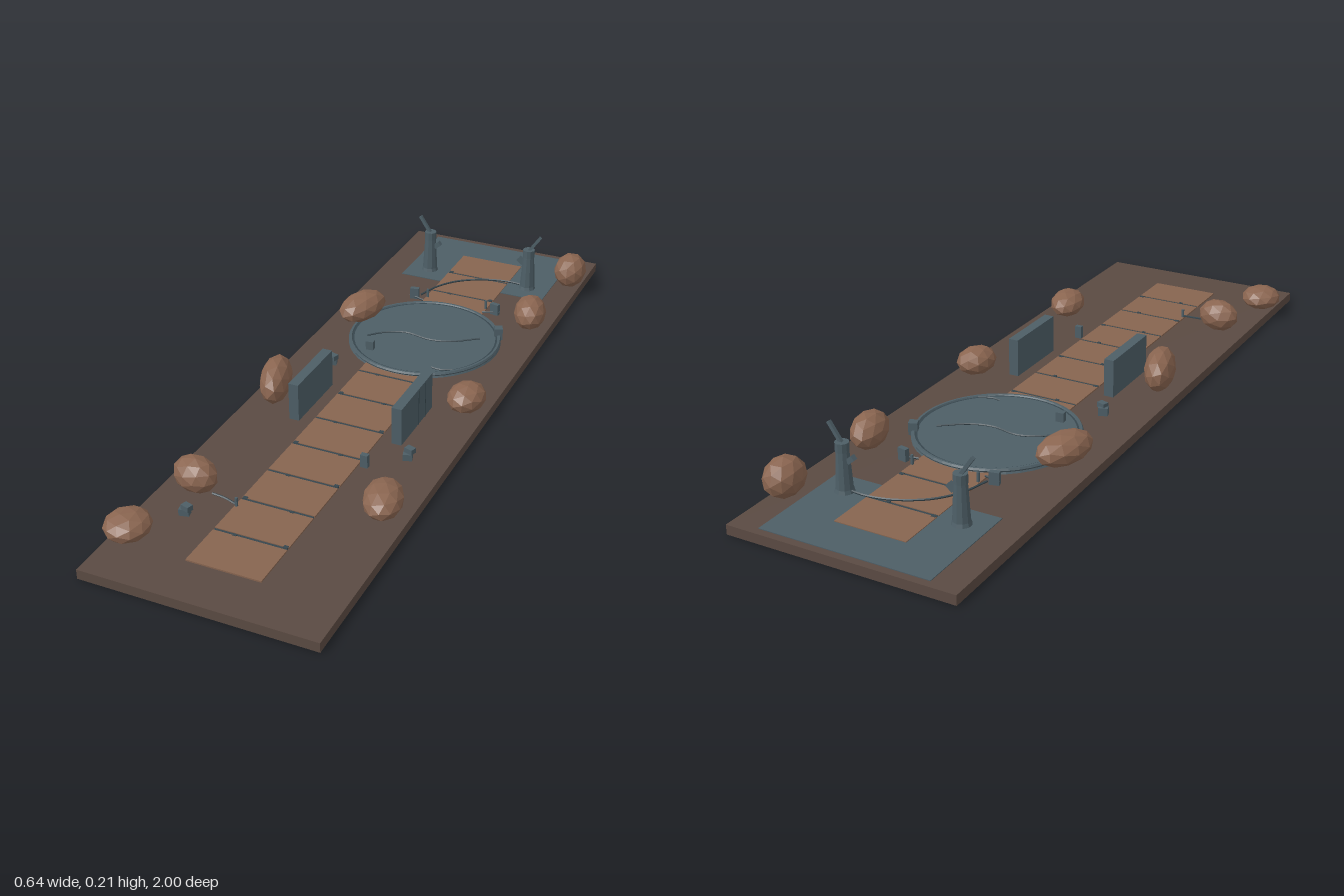
import * as THREE from 'three';

const mat = (name, color) => {
  const m = new THREE.MeshStandardMaterial({ color, flatShading: true });
  m.name = name;
  return m;
};

export function createModel() {
  const earth = mat('earth brown', 0x5a4a42);
  const clay = mat('clay tile', 0x86644f);
  const rock = mat('rock brown', 0x8a6550);
  const slate = mat('slate', 0x4d5e66);
  const dark = mat('dark slate', 0x37464d);
  const root = new THREE.Group();
  root.name = 'ruinedCourt';
  const G = 0.026; // ground level

  const add = (name, geo, m, x, y, z, parent = root) => {
    const mesh = new THREE.Mesh(geo, m);
    mesh.name = name;
    mesh.position.set(x, y, z);
    parent.add(mesh);
    return mesh;
  };
  // box standing on height y
  const box = (name, m, w, h, d, x, y, z, parent) =>
    add(name, new THREE.BoxGeometry(w, h, d), m, x, y + h / 2, z, parent);
  // thin bent strand through [x, y, z] points
  const strand = (name, pts, r, m = dark) => {
    const curve = new THREE.CatmullRomCurve3(pts.map(p => new THREE.Vector3(...p)));
    return add(name, new THREE.TubeGeometry(curve, 24, r, 5), m, 0, 0, 0);
  };

  // ground slab and rear platform
  box('groundSlab', earth, 0.614, G, 2, 0, 0, 0);
  box('rearPlatform', slate, 0.46, 0.002, 0.3, 0, G, -0.83);

  // paved path with dark joints, interrupted by the round plaza
  const pitch = 0.135;
  for (let i = 0; i < 13; i++) {
    const z = -0.812 + i * pitch;
    if (i > 2 && i < 5) continue;
    box('pathTile', clay, 0.196, 0.004, pitch - 0.009, 0, G, z);
    if (i < 12) {
      box('pathJoint', dark, 0.192, 0.003, 0.006, 0, G, z + pitch / 2);
      const s = i % 2 ? 1 : -1;
      box('jointChip', dark, 0.012, 0.005, 0.01, s * 0.09, G, z + pitch / 2 - 0.004);
      box('jointChip', dark, 0.01, 0.005, 0.008, s * -0.04, G, z + pitch / 2 + 0.003);
    }
  }

  // round plaza with raised rim
  const pz = -0.312;
  add('plazaDisc', new THREE.CylinderGeometry(0.215, 0.22, 0.01, 40), slate, 0, G + 0.005, pz);
  const rim = add('plazaRim', new THREE.TorusGeometry(0.214, 0.006, 6, 48), slate, 0, G + 0.009, pz);
  rim.rotation.x = Math.PI / 2;
  const rimLine = add('plazaRimGroove', new THREE.RingGeometry(0.204, 0.209, 48), dark, 0, G + 0.0108, pz);
  rimLine.rotation.x = -Math.PI / 2;

  // cracks across the plaza and a cable over the rear path
  const cy = G + 0.011;
  strand('plazaCrack', [[-0.155, cy, -0.25], [-0.12, cy, -0.285], [-0.06, cy, -0.312],
    [0.02, cy, -0.3], [0.08, cy, -0.315], [0.15, cy, -0.365]], 0.003);
  strand('plazaCrackSmall', [[0.085, cy, -0.155], [0.11, cy, -0.152], [0.145, cy, -0.165]], 0.003);
  strand('cable', [[-0.115, 0.035, -0.555], [-0.09, 0.034, -0.63], [-0.045, 0.034, -0.69],
    [0.03, 0.034, -0.735], [0.1, 0.034, -0.75], [0.155, 0.034, -0.745]], 0.003);

  // low standing walls beside the path
  for (const s of [-1, 1]) box('sideWall', slate, 0.028, 0.107, 0.205, s * 0.147, G, 0.128);
  for (const z of [0.075, 0.12]) box('wallSeam', dark, 0.002, 0.105, 0.004, 0.1615, G, z);

  // two tapered towers with a slanted mast and an inner bracket
  for (const s of [-1, 1]) {
    const tower = new THREE.Group();
    tower.name = 'tower';
    tower.position.set(s * 0.162, 0, -0.745);
    root.add(tower);
    add('towerBase', new THREE.CylinderGeometry(0.021, 0.026, 0.016, 10), slate, 0, G + 0.008, 0, tower);
    add('towerBody', new THREE.CylinderGeometry(0.017, 0.023, 0.108, 10), slate, 0, G + 0.054, 0, tower);
    add('towerCap', new THREE.CylinderGeometry(0.018, 0.018, 0.024, 10), slate, 0, 0.146, 0, tower);
    const mast = box('mast', slate, 0.009, 0.062, 0.009, s * 0.017, 0.147, 0, tower);
    mast.rotation.z = -s * 0.6;
    const bracket = box('bracket', slate, 0.022, 0.014, 0.014, -s * 0.024, 0.11, 0, tower);
    bracket.rotation.z = -s * 0.7;
  }

  // boulders: x, z, half sizes (x, y, z), turn about y
  const boulders = [
    [0.273, -0.825, 0.049, 0.051, 0.063, 0.1],
    [0.248, -0.518, 0.047, 0.046, 0.073, 0.25],
    [-0.222, -0.365, 0.054, 0.04, 0.088, -0.25],
    [-0.243, 0.145, 0.043, 0.057, 0.092, 0.3],
    [0.248, -0.005, 0.051, 0.039, 0.063, -0.1],
    [0.235, 0.51, 0.051, 0.037, 0.079, 0.3],
    [-0.22, 0.612, 0.064, 0.046, 0.048, -0.3],
    [-0.267, 0.843, 0.058, 0.034, 0.063, 0.1],
  ];
  boulders.forEach(([x, z, rx, ry, rz, turn], i) => {
    const geo = new THREE.IcosahedronGeometry(1, 1);
    geo.rotateX(i * 0.7);
    geo.rotateZ(i * 1.3);
    geo.scale(rx, ry, rz);
    add('boulder', geo, rock, x, G + ry - 0.001, z).rotation.y = turn;
  });

  // scattered rubble: x, z, width, height, depth, turn
  const rubble = [
    [-0.185, -0.08, 0.026, 0.022, 0.022, 0.3],
    [0.2, 0.28, 0.024, 0.018, 0.02, 0.3],
    [-0.192, 0.715, 0.026, 0.018, 0.018, 0.2],
    [0.19, -0.41, 0.024, 0.034, 0.024, 0.4],
    [-0.115, -0.185, 0.022, 0.036, 0.018, 0.1],
    [0.115, 0.355, 0.02, 0.036, 0.014, 0],
    [-0.13, -0.545, 0.026, 0.034, 0.014, 0.2],
    [0.13, -0.545, 0.026, 0.034, 0.014, -0.2],
    [-0.093, -0.56, 0.006, 0.03, 0.006, 0],
    [0.095, -0.56, 0.006, 0.03, 0.006, 0],
  ];
  for (const [x, z, w, h, d, turn] of rubble)
    box('rubble', slate, w, h, d, x, G, z).rotation.y = turn;
  for (const [x, z] of [[-0.183, 0.718], [0.204, 0.275], [-0.18, -0.075]])
    box('rubbleTop', slate, 0.024, 0.014, 0.018, x, G + 0.018, z).rotation.y = -0.3;

  // fallen bars
  for (const s of [-1, 1]) strand('bar', [[s * 0.145, 0.035, -0.545], [s * 0.095, 0.032, -0.53]], 0.003);
  strand('bar', [[-0.165, 0.04, 0.63], [-0.13, 0.038, 0.632], [-0.093, 0.034, 0.64]], 0.003);
  box('barStub', slate, 0.006, 0.028, 0.006, -0.093, G, 0.64);

  return root;
}
